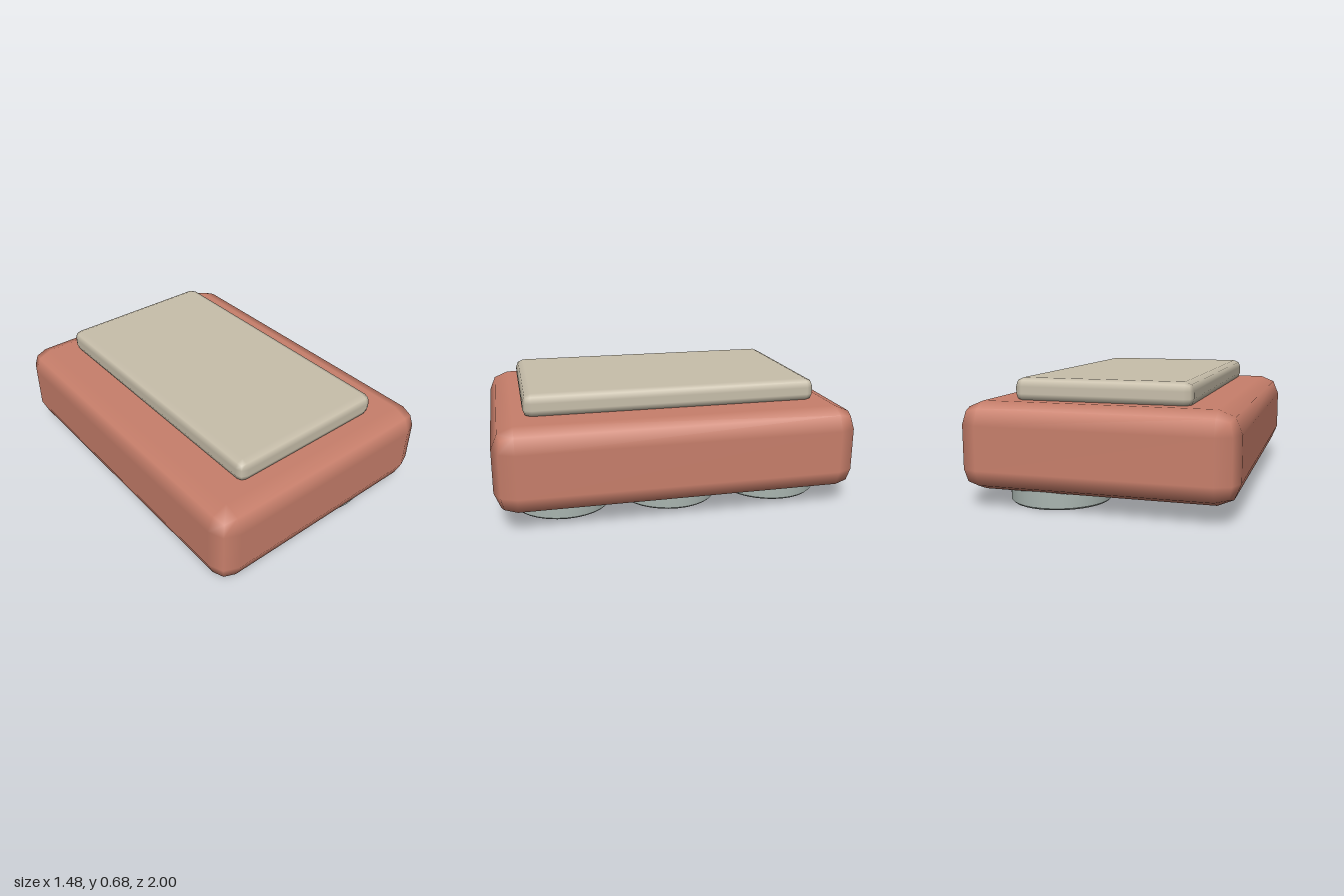
import * as THREE from 'three';
import { RoundedBoxGeometry } from 'three/addons/geometries/RoundedBoxGeometry.js';

export function createModel() {
  const material = (name, color) => {
    const m = new THREE.MeshStandardMaterial({ color });
    m.name = name;
    return m;
  };
  const terracotta = material('terracotta', 0xc87f6b);
  const beige = material('beige', 0xc8bfab);
  const grey = material('grey', 0xa9b5b0);

  const model = new THREE.Group();
  model.name = 'model';
  const add = (parent, name, geometry, mat, x, y, z) => {
    const mesh = new THREE.Mesh(geometry, mat);
    mesh.name = name;
    mesh.position.set(x, y, z);
    parent.add(mesh);
  };

  // Main block with coarse rounded edges
  add(model, 'body', new RoundedBoxGeometry(1.476, 0.472, 2, 1, 0.118), terracotta, 0, 0.326, 0);

  // Slab set slightly into the top
  add(model, 'topPlate', new RoundedBoxGeometry(0.96, 0.13, 1.65, 1, 0.046), beige, 0, 0.614, 0);

  // Row of three discs under the model's left half, each with a chamfered lower rim
  const radius = 0.28, chamfer = 0.01, top = 0.15;
  const side = new THREE.CylinderGeometry(radius, radius, top - chamfer, 32);
  const rim = new THREE.CylinderGeometry(radius, radius - chamfer, chamfer, 32);
  [0.622, 0, -0.622].forEach((z, i) => {
    const disc = new THREE.Group();
    disc.name = `disc${i + 1}`;
    disc.position.set(0.294, 0, z);
    add(disc, 'discSide', side, grey, 0, (top + chamfer) / 2, 0);
    add(disc, 'discRim', rim, grey, 0, chamfer / 2, 0);
    model.add(disc);
  });

  return model;
}
